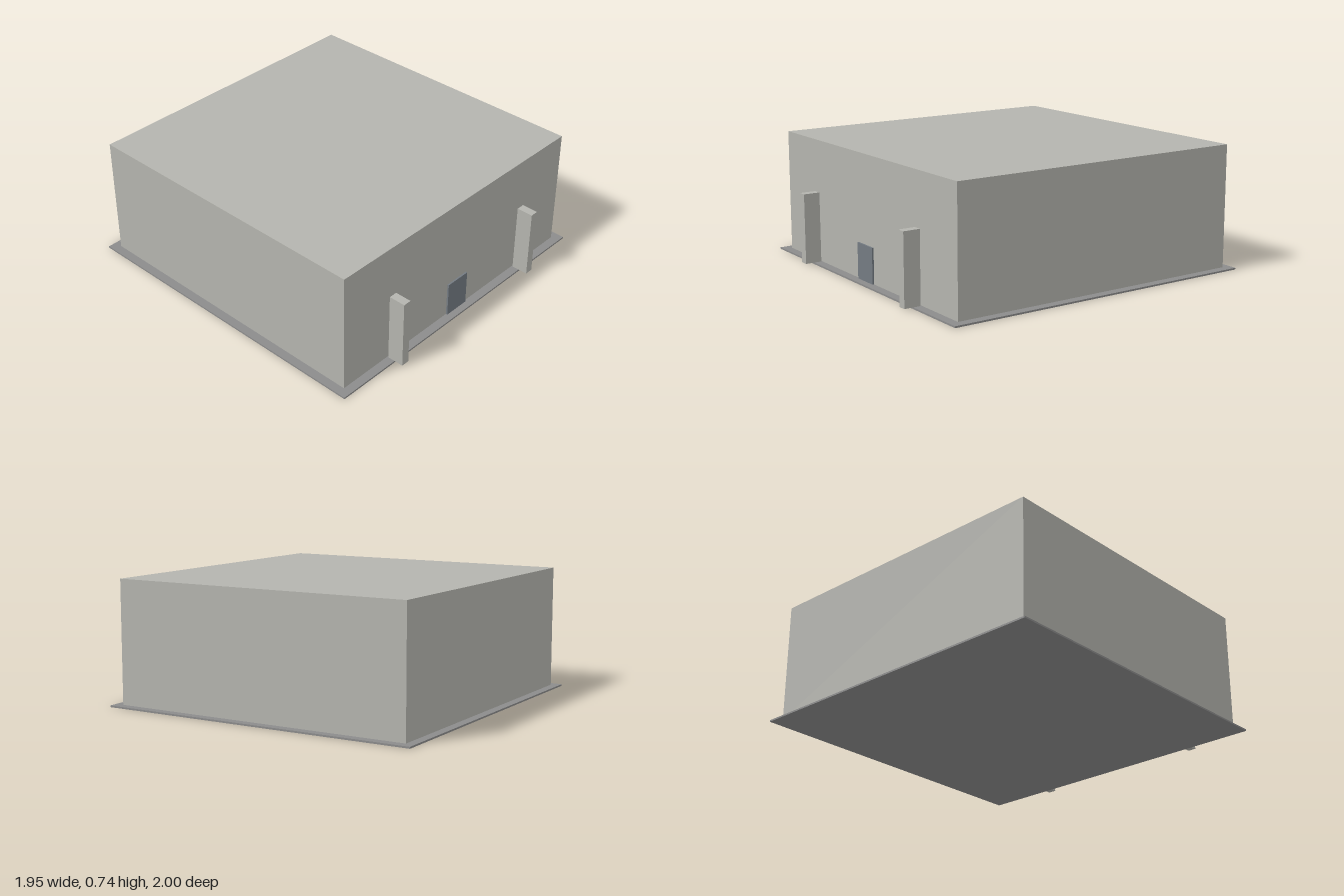
import * as THREE from 'three';

const wall = new THREE.MeshStandardMaterial({ color: 0xb4b4ae });
const paving = new THREE.MeshStandardMaterial({ color: 0x8c8c8c });
const doorPaint = new THREE.MeshStandardMaterial({ color: 0x747b82 });

// Box given by its x, y and z ranges
function block(name, material, [x0, x1], [y0, y1], [z0, z1]) {
  const mesh = new THREE.Mesh(new THREE.BoxGeometry(x1 - x0, y1 - y0, z1 - z0), material);
  mesh.position.set((x0 + x1) / 2, (y0 + y1) / 2, (z0 + z1) / 2);
  mesh.name = name;
  return mesh;
}

export function createModel() {
  const group = new THREE.Group();
  group.name = 'building';

  // Thin ground slab, reaching a little past the walls
  group.add(block('groundSlab', paving, [-0.977, 0.977], [0, 0.01], [-1, 0.945]));

  // Main hall
  group.add(block('hall', wall, [-0.925, 0.925], [0.01, 0.735], [-0.949, 0.893]));

  // Entrance door, slightly proud of the front wall
  group.add(block('door', doorPaint, [-0.081, 0.081], [0.01, 0.22], [0.893, 0.903]));

  // Pair of freestanding piers either side of the door
  for (const side of [-1, 1]) {
    const pier = block('pier', wall, [-0.025, 0.025], [0.01, 0.427], [0.9, 1]);
    pier.position.x = side * 0.555;
    pier.name = side > 0 ? 'leftPier' : 'rightPier';
    group.add(pier);
  }

  return group;
}
